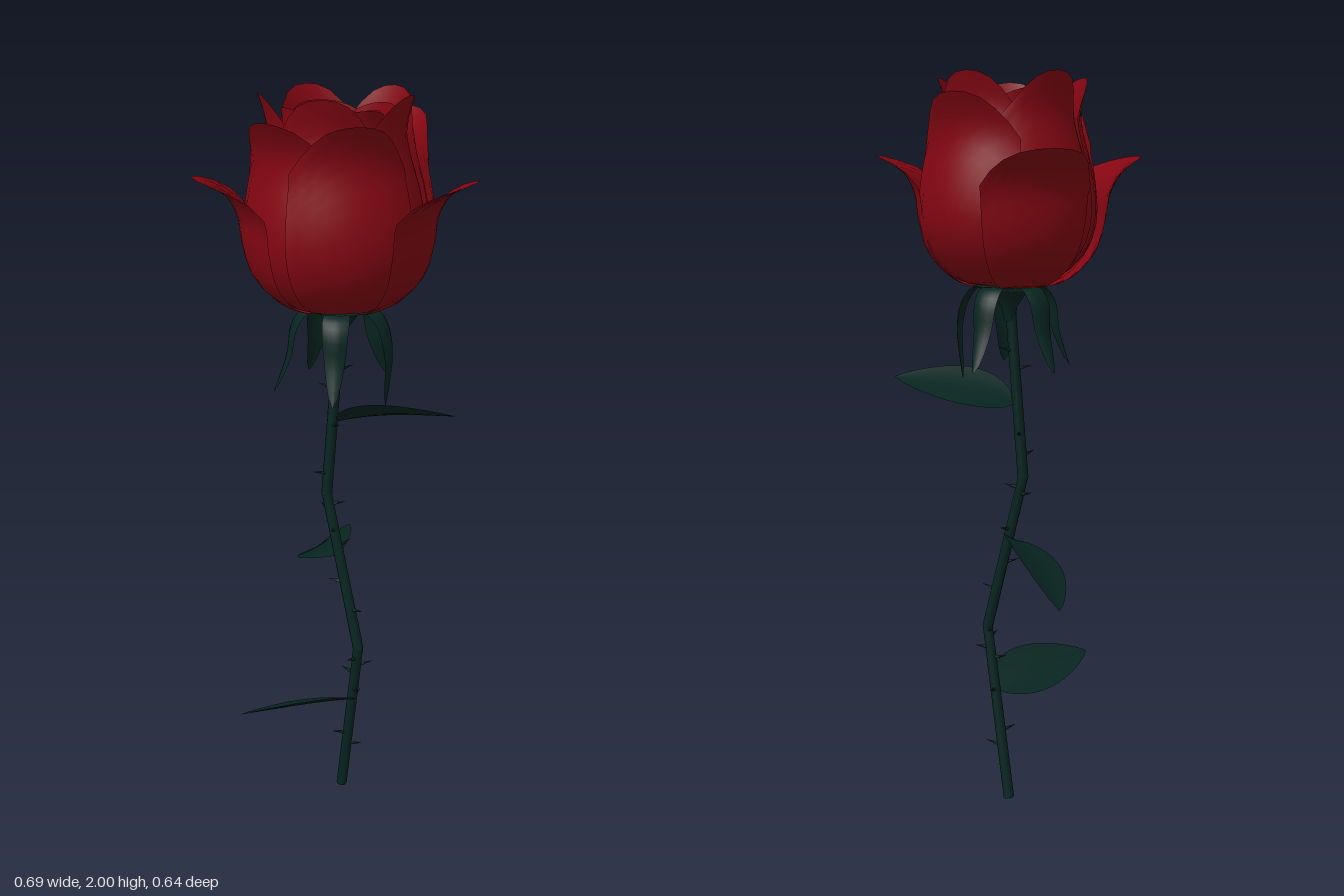
import * as THREE from 'three';

const V = (x, y, z) => new THREE.Vector3(x, y, z);
const red = new THREE.MeshStandardMaterial({ color: 0x850612, side: THREE.DoubleSide });
const green = new THREE.MeshStandardMaterial({ color: 0x072520, side: THREE.DoubleSide });
const deg = Math.PI / 180;

// Smooth sheet: point(u, v) with u across (-1..1) and v along (0..1)
function sheet(nu, nv, point) {
  const pos = [], idx = [];
  for (let j = 0; j <= nv; j++) {
    for (let i = 0; i <= nu; i++) pos.push(...point(2 * i / nu - 1, j / nv).toArray());
  }
  for (let j = 0; j < nv; j++) {
    for (let i = 0; i < nu; i++) {
      const a = j * (nu + 1) + i, b = a + nu + 1;
      idx.push(a, b, a + 1, a + 1, b, b + 1);
    }
  }
  const g = new THREE.BufferGeometry();
  g.setAttribute('position', new THREE.Float32BufferAttribute(pos, 3));
  g.setIndex(idx);
  g.computeVertexNormals();
  return g;
}

function add(parent, name, geometry, material) {
  const m = new THREE.Mesh(geometry, material);
  m.name = name;
  parent.add(m);
  return m;
}

// Petal: a radius/height profile swept over part of a turn, rim falling toward the sides
function petal(profile, angle, span, drop, overlap) {
  const curve = new THREE.SplineCurve(profile.map(([r, y]) => new THREE.Vector2(r, y)));
  return sheet(10, 14, (u, v) => {
    const p = curve.getPoint(v * (1 - drop * Math.pow(Math.abs(u), 1.8)));
    const a = (angle + u * span) * deg;
    const r = p.x + overlap * u * v;
    return V(r * Math.cos(a), p.y, r * Math.sin(a));
  });
}

// Leaf: arched blade between base and tip, widened along the direction w
function leaf(base, tip, w, half, arch) {
  const d = tip.clone().sub(base);
  const n = d.clone().cross(w).normalize();
  if (n.y < 0) n.negate();
  return sheet(6, 14, (u, t) => {
    const width = half * Math.pow(Math.max(0, Math.sin(Math.PI * Math.pow(t, 0.75))), 0.8) + 0.003;
    const lift = arch * Math.sin(Math.PI * Math.pow(t, 0.7)) + 0.12 * width * u * u;
    return base.clone().addScaledVector(d, t).addScaledVector(w, u * width).addScaledVector(n, lift);
  });
}

export function createModel() {
  const rose = new THREE.Group();
  rose.name = 'rose';

  // Kinked stem
  const stem = new THREE.Group();
  stem.name = 'stem';
  rose.add(stem);
  const knots = [V(-0.025, 0, 0.012), V(0.048, 0.49, 0.057), V(-0.06, 0.93, 0.028), V(-0.025, 1.44, 0.01)];
  const up = V(0, 1, 0);
  for (let i = 0; i < 3; i++) {
    const d = knots[i + 1].clone().sub(knots[i]);
    const s = add(stem, 'stemSection', new THREE.CylinderGeometry(0.014, 0.015, d.length(), 10), green);
    s.position.copy(knots[i]).addScaledVector(d, 0.5);
    s.quaternion.setFromUnitVectors(up, d.normalize());
    if (i) add(stem, 'stemJoint', new THREE.SphereGeometry(0.0145, 10, 8), green).position.copy(knots[i]);
  }
  const stemAt = y => {
    const i = y < 0.49 ? 0 : y < 0.93 ? 1 : 2;
    return knots[i].clone().lerp(knots[i + 1], (y - knots[i].y) / (knots[i + 1].y - knots[i].y));
  };

  // Thorns
  const thorns = new THREE.Group();
  thorns.name = 'thorns';
  rose.add(thorns);
  [0.15, 0.19, 0.31, 0.35, 0.4, 0.43, 0.455, 0.48, 0.6, 0.68, 0.78, 0.83, 0.88, 0.9, 0.99, 1.05, 1.13, 1.23, 1.28, 1.32]
    .forEach((y, i) => {
      const a = i * 137.5 * deg;
      const d = V(Math.cos(a), 0.25, Math.sin(a)).normalize();
      const t = add(thorns, 'thorn', new THREE.ConeGeometry(0.006, 0.04, 6), green);
      t.position.copy(stemAt(y)).addScaledVector(d, 0.03);
      t.quaternion.setFromUnitVectors(up, d);
    });

  // Three leaves
  [
    [V(-0.04, 1.135, 0.01), V(0.3, 1.2, 0.015), V(0, 0.42, 0.9), 0.09, 0.015],
    [V(-0.02, 0.755, 0.035), V(-0.215, 0.635, -0.23), V(0.62, 0.43, -0.66), 0.085, 0.025],
    [V(0.035, 0.315, 0.045), V(-0.19, 0.355, 0.31), V(-0.63, -0.48, -0.61), 0.085, 0.005],
  ].forEach(args => add(rose, 'leaf', leaf(...args), green));

  // Calyx with five drooping sepals
  const calyx = new THREE.Group();
  calyx.name = 'calyx';
  calyx.position.set(-0.025, 0, 0.01);
  rose.add(calyx);
  const cup = [[0.014, 1.36], [0.022, 1.4], [0.05, 1.44], [0.1, 1.455], [0, 1.46]];
  add(calyx, 'receptacle', new THREE.LatheGeometry(cup.map(p => new THREE.Vector2(...p)), 16), green);
  for (let k = 0; k < 5; k++) {
    const a = k * 72 * deg;
    const tip = k ? [0.18, 1.235] : [0.13, 1.2];
    const path = new THREE.SplineCurve([[0.03, 1.445], [0.095, 1.452], [0.132, 1.41], [0.145, 1.33], tip]
      .map(p => new THREE.Vector2(...p)));
    add(calyx, 'sepal', sheet(4, 14, (u, v) => {
      const p = path.getPoint(v);
      const half = 0.046 * Math.pow(1 - v, 0.75) * (0.6 + 1.2 * v) + 0.001;
      const r = p.x - 0.3 * half * u * u;
      const s = u * half;
      return V(r * Math.cos(a) - s * Math.sin(a), p.y, r * Math.sin(a) + s * Math.cos(a));
    }), green);
  }

  // Bloom
  const bloom = new THREE.Group();
  bloom.name = 'bloom';
  bloom.position.set(-0.03, 0, 0.01);
  rose.add(bloom);

  // Outer petals, curled outward to a point
  const outer = [[0.02, 1.445], [0.14, 1.465], [0.22, 1.54], [0.248, 1.63], [0.258, 1.7], [0.295, 1.76], [0.37, 1.8]];
  [0, 143, -120].forEach(a => add(bloom, 'outerPetal', petal(outer, a, 34, 0.3, 0.004), red));

  // Cup petals with gently flared tips
  [-68, 55, 108].forEach((a, i) => {
    const k = 1 - 0.012 * i;
    add(bloom, 'cupPetal', petal([[0.02, 1.45], [0.14 * k, 1.47], [0.215 * k, 1.545], [0.242 * k, 1.64],
      [0.233 * k, 1.74], [0.217 * k, 1.82], [0.225 * k, 1.885], [0.257, 1.945]], a, 42, 0.27, 0.01), red);
  });

  // Taller, narrower petals behind them
  for (let i = 0; i < 5; i++) {
    add(bloom, 'tallPetal', petal([[0.02, 1.455], [0.13, 1.48], [0.2, 1.55], [0.226, 1.64],
      [0.213, 1.75], [0.185, 1.85], [0.177, 1.92], [0.2, 2]], 4 + i * 72, 46, 0.22, 0.012), red);
  }

  // Inner whorls: radius, top height, petal count, first angle
  [[0.148, 1.965, 4, 40], [0.112, 1.95, 3, 85], [0.076, 1.945, 3, 20], [0.042, 1.935, 2, 75]]
    .forEach(([R, top, n, first]) => {
      for (let i = 0; i < n; i++) {
        add(bloom, 'innerPetal', petal([[0.01, 1.48], [R * 0.9, 1.56], [R * 1.15, 1.68], [R * 1.05, 1.82],
          [R * 0.9, top - 0.06], [R * 0.93, top]], first + i * 360 / n, 230 / n, 0.16, 0.014), red);
      }
    });

  // Closed bud at the heart
  const bud = [[0, 1.5], [0.03, 1.6], [0.036, 1.75], [0.028, 1.87], [0.012, 1.91], [0, 1.915]];
  add(bloom, 'bud', new THREE.LatheGeometry(bud.map(p => new THREE.Vector2(...p)), 12), red);

  return rose;
}
